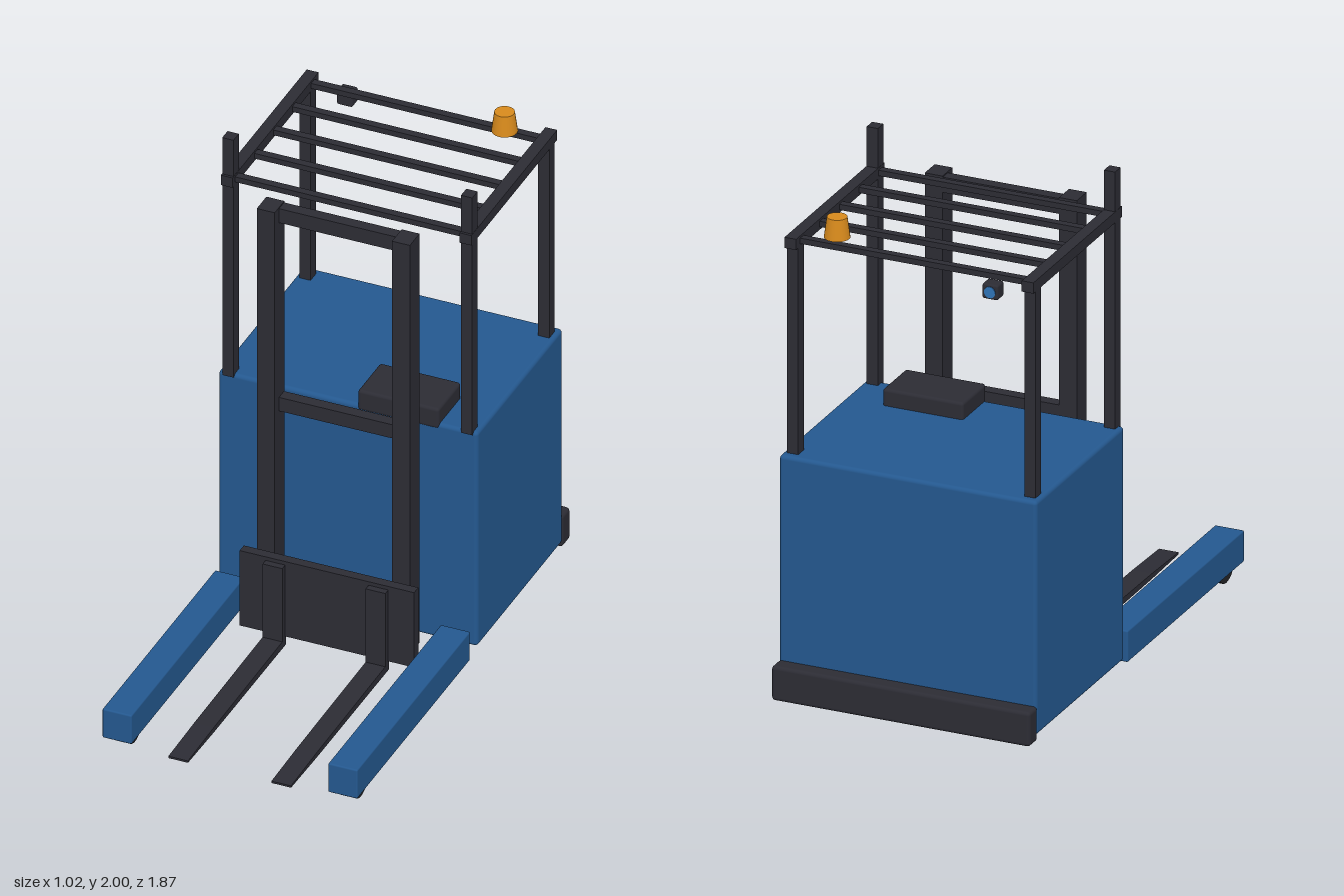
import * as THREE from 'three';
import { RoundedBoxGeometry } from 'three/addons/geometries/RoundedBoxGeometry.js';

const mat = (name, color) => {
  const m = new THREE.MeshStandardMaterial({ color });
  m.name = name;
  return m;
};

export function createModel() {
  const group = new THREE.Group();
  const blue = mat('bodyBlue', 0x24588f);
  const dark = mat('darkSteel', 0x2c2c34);
  const rubber = mat('wheelRubber', 0x232326);
  const amber = mat('beaconAmber', 0xd88a1c);
  const lensBlue = mat('lensBlue', 0x2f74b8);

  const add = (name, geometry, material) => {
    const mesh = new THREE.Mesh(geometry, material);
    mesh.name = name;
    group.add(mesh);
    return mesh;
  };
  // Box given by its limits on each axis, with optional rounded edges
  const box = (name, material, [x0, x1], [y0, y1], [z0, z1], r = 0) => {
    const size = [x1 - x0, y1 - y0, z1 - z0];
    const g = r ? new RoundedBoxGeometry(...size, 3, r) : new THREE.BoxGeometry(...size);
    g.translate((x0 + x1) / 2, (y0 + y1) / 2, (z0 + z1) / 2);
    return add(name, g, material);
  };
  const pair = (name, material, [x0, x1], y, z, r) => {
    box(name + 'Left', material, [x0, x1], y, z, r);
    box(name + 'Right', material, [-x1, -x0], y, z, r);
  };

  // Chassis, rear bumper and control console
  box('body', blue, [-0.508, 0.508], [0.08, 0.995], [-0.872, -0.115], 0.015);
  box('rearBumper', dark, [-0.51, 0.51], [0.06, 0.195], [-0.935, -0.862], 0.014);
  box('console', dark, [0.04, 0.358], [0.975, 1.06], [-0.31, -0.11], 0.012);

  // Straddle legs with load wheels
  pair('straddleLeg', blue, [0.385, 0.5], [0.05, 0.173], [-0.07, 0.93], 0.006);
  for (const s of [1, -1]) {
    const wheel = new THREE.CylinderGeometry(0.067, 0.067, 0.06, 28).rotateZ(Math.PI / 2);
    add('loadWheel', wheel, rubber).position.set(s * 0.443, 0.067, 0.835);
  }

  // Treaded drive wheel under the body
  const tread = new THREE.Shape();
  const teeth = 24;
  for (let i = 0; i < teeth * 4; i++) {
    const a = (i / (teeth * 4)) * Math.PI * 2;
    const r = i % 4 < 2 ? 0.13 : 0.12;
    if (i) tread.lineTo(r * Math.cos(a), r * Math.sin(a));
    else tread.moveTo(r, 0);
  }
  const drive = new THREE.ExtrudeGeometry(tread, { depth: 0.09, bevelEnabled: false });
  drive.translate(0, 0, -0.045).rotateY(Math.PI / 2);
  add('driveWheel', drive, rubber).position.set(-0.285, 0.13, -0.69);

  // Mast
  pair('mastUpright', dark, [0.23, 0.3], [0.07, 1.82], [-0.072, 0.013]);
  box('mastTopBar', dark, [-0.235, 0.235], [1.755, 1.815], [-0.07, -0.025]);
  box('mastMiddleBar', dark, [-0.235, 0.235], [0.95, 1.008], [-0.07, -0.025]);
  box('mastBottomBar', dark, [-0.235, 0.235], [0.1, 0.16], [-0.07, -0.025]);

  // Carriage and tapered L-shaped forks
  box('carriage', dark, [-0.342, 0.342], [0.06, 0.38], [0.033, 0.07]);
  const profile = new THREE.Shape([
    [0.065, 0.022], [0.7, 0.025], [0.93, 0.031], [0.93, 0.039],
    [0.7, 0.046], [0.096, 0.052], [0.096, 0.365], [0.065, 0.365],
  ].map(([z, y]) => new THREE.Vector2(z, y)));
  for (const s of [1, -1]) {
    const fork = new THREE.ExtrudeGeometry(profile, { depth: 0.077, bevelEnabled: false });
    fork.translate(0, 0, -0.0385).rotateY(-Math.PI / 2);
    add('fork', fork, dark).position.x = s * 0.202;
  }

  // Overhead guard
  pair('frontPost', dark, [0.446, 0.49], [0.985, 2], [-0.157, -0.11]);
  pair('rearPost', dark, [0.446, 0.49], [0.985, 1.82], [-0.84, -0.792]);
  pair('roofRail', dark, [0.445, 0.491], [1.803, 1.845], [-0.86, -0.1]);
  for (const z of [-0.81, -0.643, -0.475, -0.307, -0.138]) {
    box('roofBar', dark, [-0.45, 0.45], [1.814, 1.836], [z - 0.015, z + 0.015]);
  }

  // Warning beacon
  add('beacon', new THREE.CylinderGeometry(0.037, 0.048, 0.08, 24), amber).position.set(0.32, 1.886, -0.78);

  // Rear spotlight with its lens aimed back
  box('spotlight', dark, [-0.357, -0.295], [1.755, 1.814], [-0.875, -0.82], 0.008);
  const lens = new THREE.CylinderGeometry(0.022, 0.022, 0.006, 20).rotateX(Math.PI / 2);
  add('spotlightLens', lens, lensBlue).position.set(-0.326, 1.784, -0.875);

  return group;
}
